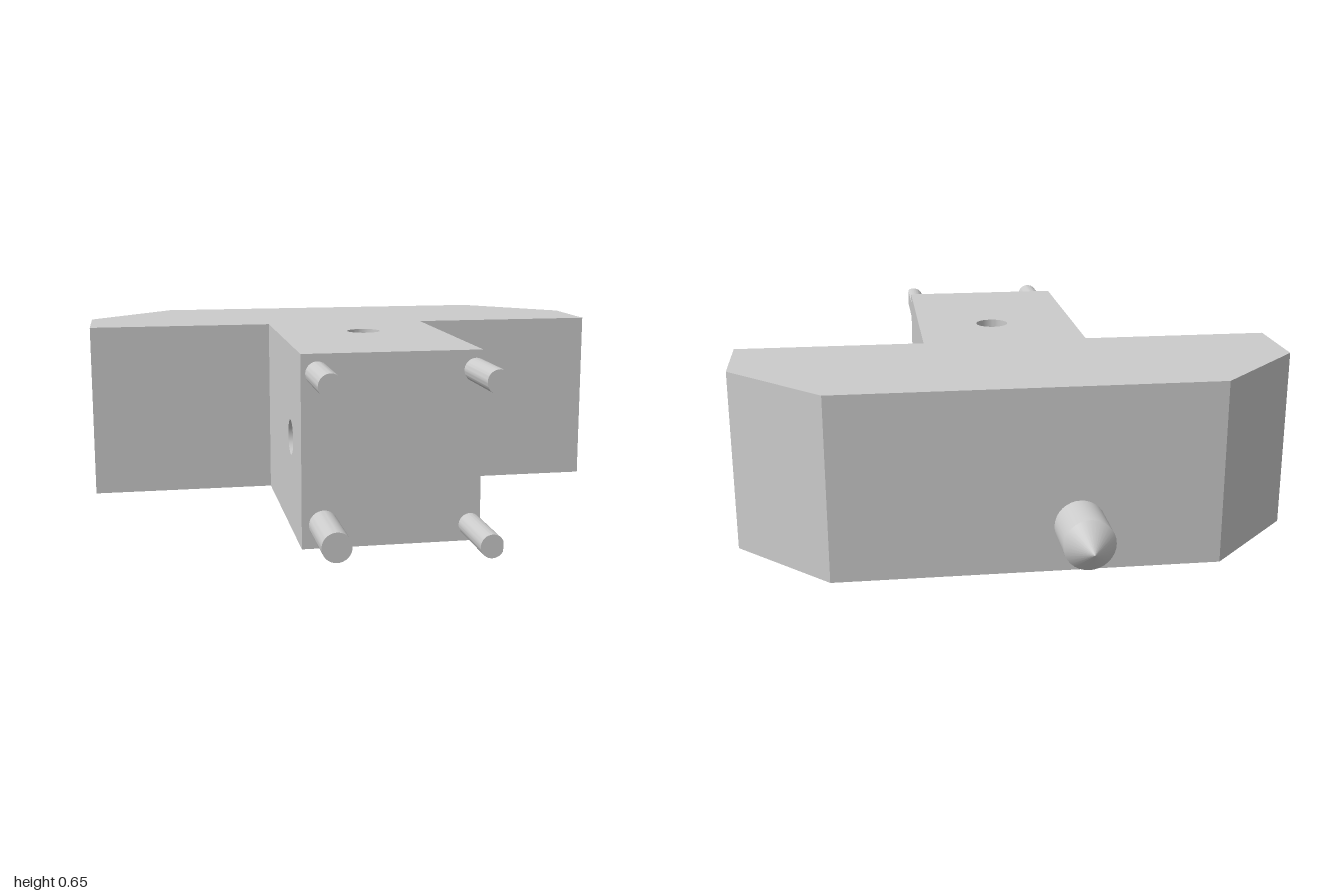
import * as THREE from 'three';
import { mergeGeometries, mergeVertices, toCreasedNormals } from 'three/addons/utils/BufferGeometryUtils.js';

const HEIGHT = 0.65, LEFT = 0.303, RIGHT = -0.305;
const STEM_END = 0.742, SEAM = 0.32;
const CREASE = 0.6;

const material = new THREE.MeshStandardMaterial({ color: 0xcccccc });

function mesh(name, geometry) {
  const m = new THREE.Mesh(geometry, material);
  m.name = name;
  return m;
}

function outline(points, holeX, holeY, holeR) {
  const shape = new THREE.Shape(points.map(([x, y]) => new THREE.Vector2(x, y)));
  shape.holes.push(new THREE.Path().absarc(holeX, holeY, holeR, 0, Math.PI * 2, true));
  return shape;
}

const extrude = (shape, depth) =>
  new THREE.ExtrudeGeometry(shape, { depth, bevelEnabled: false, curveSegments: 20 });

// Drops the faces lying on the seam, so two pieces join into one hollow-free skin
function openSeam(geometry) {
  const p = geometry.getAttribute('position');
  const kept = [];
  for (let i = 0; i < p.count; i += 3) {
    const onSeam = [0, 1, 2].every(k => Math.abs(p.getZ(i + k) - SEAM) < 1e-4);
    if (onSeam) continue;
    for (let k = 0; k < 3; k++) kept.push(p.getX(i + k), p.getY(i + k), p.getZ(i + k));
  }
  const out = new THREE.BufferGeometry();
  out.setAttribute('position', new THREE.Float32BufferAttribute(kept, 3));
  return out;
}

function bodyGeometry() {
  // Chamfered crossbar and inner stem, with the vertical hole (plan drawn as x, -z)
  const plan = outline([
    [RIGHT, -SEAM], [LEFT, -SEAM], [LEFT, 0.127], [0.99, 0.127], [0.99, 0.428],
    [0.665, 0.75], [-0.667, 0.75], [-0.99, 0.428], [-0.99, 0.127], [RIGHT, 0.127],
  ], 0.016, -0.158, 0.061);
  const crossbar = extrude(plan, HEIGHT).rotateX(-Math.PI / 2);

  // Outer stem with the sideways hole (side drawn as -z, y)
  const side = outline([
    [-STEM_END, 0], [-SEAM, 0], [-SEAM, HEIGHT], [-STEM_END, HEIGHT],
  ], -0.49, 0.327, 0.061);
  const stem = extrude(side, LEFT - RIGHT).rotateY(Math.PI / 2).translate(RIGHT, 0, 0);

  const joined = mergeGeometries([openSeam(crossbar), openSeam(stem)]);
  return toCreasedNormals(mergeVertices(joined), CREASE);
}

// Round contact pin, cut flat where it would pass the side of the stem
function pinGeometry(x, y, r) {
  const reach = LEFT - x;
  const cut = reach < r ? Math.acos(reach / r) : 0;
  const shape = new THREE.Shape().absarc(x, y, r, cut, Math.PI * 2 - cut, false);
  shape.closePath();
  const geometry = extrude(shape, 1 - STEM_END).translate(0, 0, STEM_END);
  return toCreasedNormals(geometry, CREASE);
}

// Round peg with a conical point, facing backwards
function pegGeometry() {
  const profile = [[0.088, 0], [0.088, 0.168], [0, 0.25]].map(([r, h]) => new THREE.Vector2(r, h));
  const geometry = new THREE.LatheGeometry(profile, 32).rotateX(-Math.PI / 2);
  return toCreasedNormals(geometry, CREASE).translate(-0.175, 0.164, -0.75);
}

export function createModel() {
  const model = new THREE.Group();
  model.name = 'pluggableTeeBlock';
  model.add(mesh('body', bodyGeometry()));

  const pins = [
    ['upperRightPin', -0.25, 0.585, 0.04],
    ['upperLeftPin', 0.28, 0.583, 0.04],
    ['lowerRightPin', -0.232, 0.08, 0.049],
    ['lowerLeftPin', 0.268, 0.056, 0.039],
  ];
  for (const [name, x, y, r] of pins) model.add(mesh(name, pinGeometry(x, y, r)));

  model.add(mesh('pointedPeg', pegGeometry()));
  return model;
}
